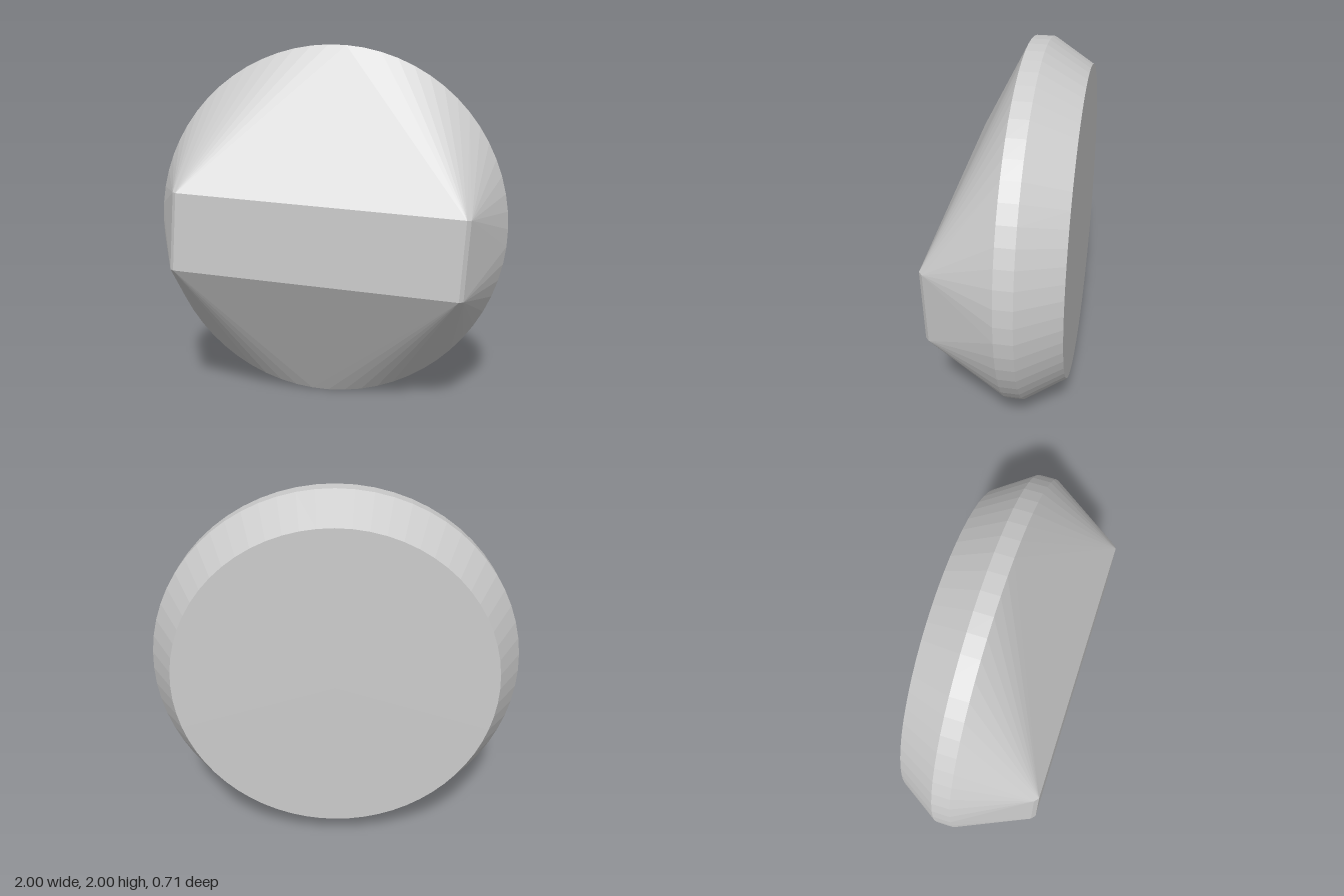
import * as THREE from 'three';
import { ConvexGeometry } from 'three/addons/geometries/ConvexGeometry.js';

const SIDES = 64;
const RIM_Z = -0.045;

export function createModel() {
  const group = new THREE.Group();
  group.name = 'cutStone';
  const material = new THREE.MeshStandardMaterial({ color: 0xcccccc, flatShading: true });

  // Round base: flat back, tapered side and a narrow straight rim
  const profile = [[0, -0.355], [0.865, -0.355], [1, -0.14], [1, RIM_Z]]
    .map(([r, z]) => new THREE.Vector2(r, z));
  const baseGeometry = new THREE.LatheGeometry(profile, SIDES);
  baseGeometry.rotateX(Math.PI / 2);
  const base = new THREE.Mesh(baseGeometry, material);
  base.name = 'base';
  base.position.y = 1;
  group.add(base);

  // Faceted crown: the rim circle drawn forward to a slightly turned flat bar
  const points = [];
  for (let i = 0; i < SIDES; i++) {
    const a = (i / SIDES) * Math.PI * 2;
    points.push(new THREE.Vector3(Math.sin(a), Math.cos(a), RIM_Z));
  }
  const turn = -0.067;
  for (const sx of [-1, 1]) {
    for (const sy of [-1, 1]) {
      // front corner, then the small chamfer at the end of the bar
      for (const [halfLength, z] of [[0.77, 0.355], [0.793, 0.335]]) {
        const corner = new THREE.Vector3(sx * halfLength, sy * 0.213, z);
        corner.applyAxisAngle(new THREE.Vector3(0, 0, 1), turn);
        points.push(corner.add(new THREE.Vector3(-0.005, -0.055, 0)));
      }
    }
  }
  const crown = new THREE.Mesh(new ConvexGeometry(points), material);
  crown.name = 'crown';
  crown.position.y = 1;
  group.add(crown);

  return group;
}
